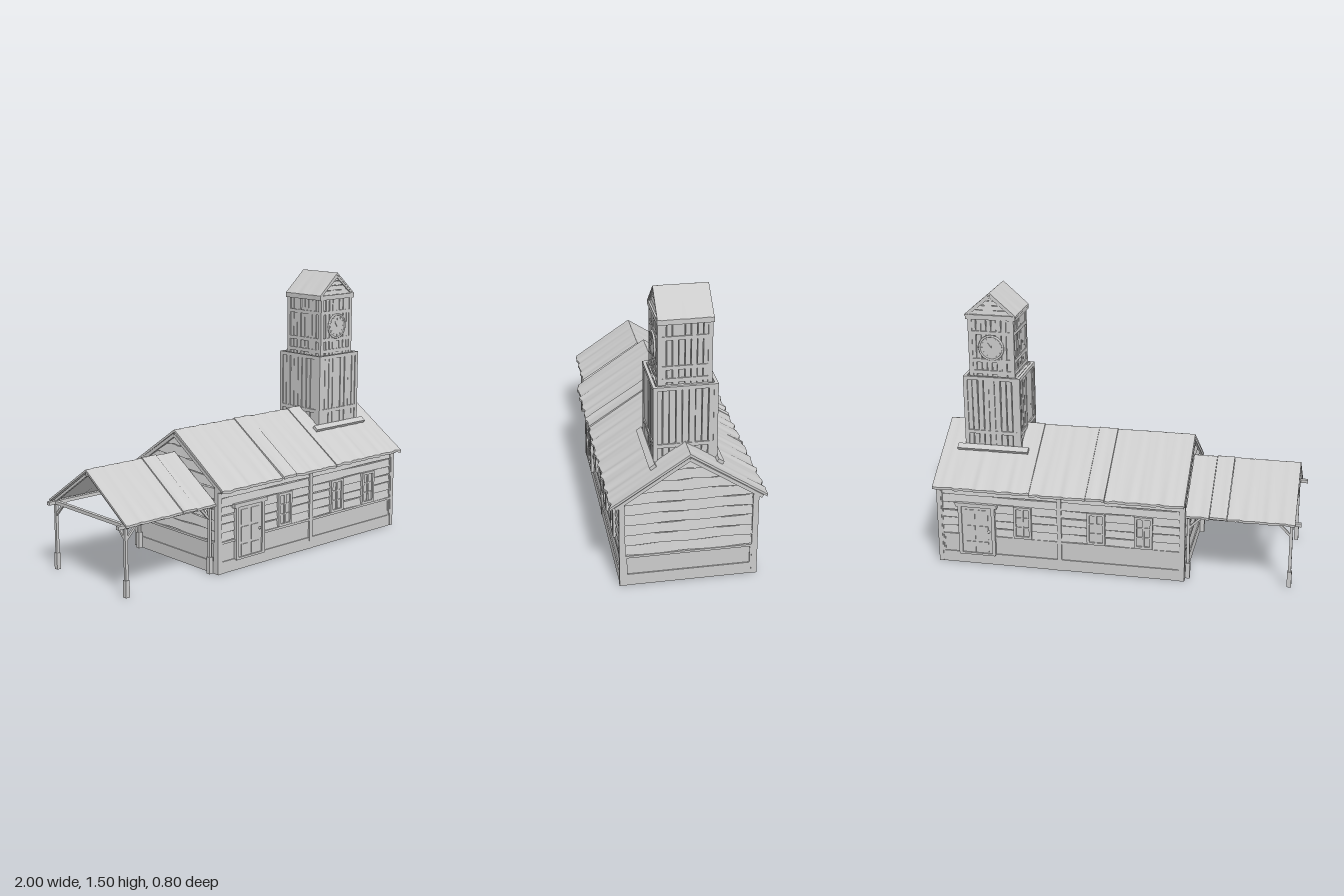
import * as THREE from 'three';

const mat = new THREE.MeshStandardMaterial({ color: 0xcccccc });
const UP = new THREE.Vector3(0, 1, 0);
let seed = 7;
const rnd = () => (seed = (seed * 16807) % 2147483647) / 2147483647;

function group(parent, name, x = 0, y = 0, z = 0) {
  const g = new THREE.Group();
  g.name = name;
  g.position.set(x, y, z);
  parent.add(g);
  return g;
}

function add(parent, name, geo, x = 0, y = 0, z = 0) {
  const m = new THREE.Mesh(geo, mat);
  m.name = name;
  m.position.set(x, y, z);
  parent.add(m);
  return m;
}

const box = (parent, name, w, h, d, x, y, z) => add(parent, name, new THREE.BoxGeometry(w, h, d), x, y, z);

// Square timber between two points of the parent
function bar(parent, name, a, b, t) {
  const p = new THREE.Vector3(...a), q = new THREE.Vector3(...b);
  const m = box(parent, name, t, t, p.distanceTo(q), 0, 0, 0);
  m.position.copy(p).add(q).multiplyScalar(0.5);
  m.quaternion.setFromRotationMatrix(new THREE.Matrix4().lookAt(q, p, UP));
}

// Horizontal boards with narrow gaps, each thicker at its lower edge; widthAt gives the wall width at a height
function clapboards(parent, y0, y1, count, widthAt, z, lap) {
  const h = (y1 - y0) / count;
  for (let i = 0; i < count; i++) {
    const geo = new THREE.BoxGeometry(1, h, 1, 14, 1, 1), p = geo.attributes.position;
    const low = y0 + i * h, high = low + h * 0.88, phase = rnd() * 6;
    for (let k = 0; k < p.count; k++) {
      const top = p.getY(k) > 0, u = p.getX(k), y = top ? high : low;
      const out = p.getZ(k) > 0 ? (top ? 0.002 : lap) : -0.016;
      const wob = Math.sin(u * 13 + phase + (top ? 2 : 0)) * h * 0.05;
      p.setXYZ(k, u * widthAt(y), y + wob, z + out);
    }
    geo.computeVertexNormals();
    add(parent, 'clapboard', geo);
  }
}

// Pair of roof slopes with the ridge along x, made from slightly wavy sheets between the seams
function gableRoof(parent, name, seams, run, ridgeY, eaveY, t) {
  const g = group(parent, name), ripple = run / 0.4;
  for (const side of [1, -1]) {
    for (let s = 0; s + 1 < seams.length; s++) {
      const len = seams[s + 1] - seams[s], mid = (seams[s] + seams[s + 1]) / 2;
      const n = Math.max(4, Math.round(len * 90)), lift = (s % 2) * 0.004, phase = rnd() * 6;
      const geo = new THREE.BoxGeometry(len - 0.002, t, 1, n, 1, 4), p = geo.attributes.position;
      for (let k = 0; k < p.count; k++) {
        const x = p.getX(k), u = p.getZ(k) + 0.5, under = p.getY(k) < 0;
        const wave = ripple * (0.0012 * Math.sin(x * 70 + phase) + 0.0008 * Math.sin(x * 133 + side));
        const reach = run + u * ripple * (0.005 * Math.sin(x * 58 + phase) + 0.003 * Math.sin(x * 101));
        const y = ridgeY - (ridgeY - eaveY) * u - (under ? t : 0) + wave + lift - 0.004;
        p.setXYZ(k, mid + x, y, reach * u * side);
      }
      // Mirroring flips the winding, so reverse it on the far slope
      if (side < 0) geo.setIndex(Array.from(geo.index.array).reverse());
      geo.computeVertexNormals();
      add(g, 'roofSheet', geo);
    }
  }
  return g;
}

function door(parent, x, z) {
  const g = group(parent, 'door', x, 0, z);
  box(g, 'doorLeaf', 0.17, 0.28, 0.012, 0, 0.2, 0);
  for (const s of [-1, 1]) {
    box(g, 'doorJamb', 0.02, 0.29, 0.026, s * 0.094, 0.205, 0.001);
    [[0.105, 0.06], [0.19, 0.08], [0.285, 0.08]].forEach(([y, h]) => box(g, 'doorPanel', 0.055, h, 0.008, s * 0.037, y, 0.006));
  }
  box(g, 'doorLintel', 0.235, 0.022, 0.034, 0, 0.354, 0.001);
  box(g, 'threshold', 0.2, 0.012, 0.026, 0, 0.062, 0.001);
  add(g, 'doorKnob', new THREE.SphereGeometry(0.008, 12, 8), 0.068, 0.2, 0.011);
}

function windowUnit(parent, x, z) {
  const g = group(parent, 'window', x, 0.268, z);
  box(g, 'pane', 0.08, 0.17, 0.01, 0, 0, 0);
  for (const s of [-1, 1]) {
    box(g, 'windowSide', 0.014, 0.18, 0.024, s * 0.043, 0, 0.002);
    box(g, 'windowRail', 0.1, 0.014, 0.024, 0, s * 0.086, 0.002);
    box(g, 'glazingBar', 0.08, 0.006, 0.016, 0, s * 0.028, 0.002);
  }
  box(g, 'mullion', 0.012, 0.17, 0.02, 0, 0, 0.002);
}

// Low plinth: sill, recessed panel and cap rail
function plinth(parent, width, z) {
  box(parent, 'sill', width, 0.064, 0.036, 0, 0.032, z - 0.018);
  box(parent, 'plinthPanel', width, 0.11, 0.03, 0, 0.115, z - 0.021);
  box(parent, 'plinthRail', width, 0.012, 0.036, 0, 0.166, z - 0.017);
}

// One tower storey: four plank faces with corner posts and rails at the given heights
function towerTier(parent, name, w, d, y0, y1, rails) {
  const g = group(parent, name), h = y1 - y0, ym = (y0 + y1) / 2;
  box(g, 'tierCore', w - 0.044, h - 0.01, d - 0.044, 0, ym, 0);
  for (let f = 0; f < 4; f++) {
    const face = group(g, 'tierFace');
    face.rotation.y = f * Math.PI / 2;
    const fw = f % 2 ? d : w, out = (f % 2 ? w : d) / 2;
    const n = Math.round(fw / 0.034), pw = (fw - 0.03) / n;
    for (let i = 0; i < n; i++) {
      const plank = box(face, 'plank', pw * (0.82 + rnd() * 0.12), h - 0.01, 0.014, (i + 0.5 - n / 2) * pw, ym, out - 0.015 + rnd() * 0.006);
      plank.rotation.z = (rnd() - 0.5) * 0.014;
    }
    for (const y of rails) box(face, 'rail', fw - 0.03, 0.02, 0.016, 0, y, out - 0.008);
    box(face, 'cornerPost', 0.022, h, 0.022, fw / 2 - 0.011, ym, out - 0.011);
  }
}

function clock(parent, z) {
  const g = group(parent, 'clock', 0, 1.19, z);
  add(g, 'clockFace', new THREE.CylinderGeometry(0.066, 0.066, 0.016, 32).rotateX(Math.PI / 2));
  add(g, 'clockRim', new THREE.TorusGeometry(0.066, 0.006, 8, 32), 0, 0, 0.006);
  for (let i = 0; i < 12; i++) {
    const a = i * Math.PI / 6;
    box(g, 'hourMark', 0.004, 0.01, 0.004, Math.sin(a) * 0.052, Math.cos(a) * 0.052, 0.008).rotation.z = -a;
  }
  bar(g, 'minuteHand', [0, 0, 0.009], [0, 0.046, 0.009], 0.004);
  bar(g, 'hourHand', [0, 0, 0.009], [-0.018, 0.026, 0.009], 0.005);
}

export function createModel() {
  const model = new THREE.Group();
  model.name = 'station';

  // Main hall: solid core with two long walls and two gable ends
  const hall = group(model, 'hall', 0.3, 0, 0.008);
  const profile = new THREE.Shape([[-0.322, 0.03], [0.322, 0.03], [0.322, 0.47], [0, 0.69], [-0.322, 0.47]].map(p => new THREE.Vector2(...p)));
  add(hall, 'hallCore', new THREE.ExtrudeGeometry(profile, { depth: 1.316, bevelEnabled: false }).translate(0, 0, -0.658).rotateY(Math.PI / 2));

  const longWall = group(hall, 'longWall');
  clapboards(longWall, 0.174, 0.455, 6, () => 1.36, 0.337, 0.01);
  plinth(longWall, 1.378, 0.349);
  for (const x of [-0.678, 0, 0.678]) box(longWall, 'wallPost', 0.024, 0.46, 0.03, x, 0.23, 0.337);
  box(longWall, 'eavePlate', 1.378, 0.02, 0.036, 0, 0.456, 0.342);
  door(longWall, -0.465, 0.346);
  for (const x of [-0.205, 0.205, 0.465]) windowUnit(longWall, x, 0.344);
  const rearWall = longWall.clone();
  rearWall.rotation.y = Math.PI;
  hall.add(rearWall);

  const gableEnd = group(hall, 'gableEnd');
  gableEnd.rotation.y = Math.PI / 2;
  clapboards(gableEnd, 0.174, 0.465, 5, () => 0.65, 0.672, 0.013);
  clapboards(gableEnd, 0.465, 0.7, 4, y => Math.max(0.01, 0.7 * (0.7 - y) / 0.235), 0.672, 0.013);
  plinth(gableEnd, 0.69, 0.688);
  for (const s of [-1, 1]) {
    box(gableEnd, 'endPost', 0.024, 0.46, 0.03, s * 0.337, 0.23, 0.674);
    bar(gableEnd, 'rakeBoard', [s * 0.37, 0.449, 0.683], [0, 0.693, 0.683], 0.018);
  }
  const farEnd = gableEnd.clone();
  farEnd.rotation.y = -Math.PI / 2;
  hall.add(farEnd);
  gableRoof(hall, 'hallRoof', [-0.69, -0.26, -0.155, 0.155, 0.699], 0.393, 0.725, 0.463, 0.014);

  // Open canopy on posts
  const canopy = group(model, 'canopy', 0, 0, 0.008);
  gableRoof(canopy, 'canopyRoof', [-0.97, -0.61, -0.515, -0.385], 0.332, 0.605, 0.383, 0.012);
  for (const s of [-1, 1]) {
    const z = s * 0.298;
    box(canopy, 'canopyBeam', 0.61, 0.018, 0.022, -0.695, 0.367, z);
    for (const [x, dir] of [[-0.95, 1], [-0.402, -1]]) {
      box(canopy, 'canopyPost', 0.016, 0.36, 0.016, x, 0.18, z);
      box(canopy, 'postFoot', 0.024, 0.09, 0.024, x, 0.045, z);
      bar(canopy, 'braceAlong', [x, 0.295, z], [x + dir * 0.065, 0.362, z], 0.012);
      bar(canopy, 'braceAcross', [x, 0.295, z], [x, 0.362, z - s * 0.065], 0.012);
      bar(canopy, 'rafter', [x, 0.362, s * 0.32], [x, 0.577, 0], 0.014);
    }
  }
  for (const x of [-0.95, -0.402]) box(canopy, 'tieBeam', 0.02, 0.018, 0.6, x, 0.367, 0);
  box(canopy, 'ridgeBeam', 0.57, 0.018, 0.014, -0.68, 0.574, 0);

  // Clock tower straddling the ridge
  const tower = group(model, 'clockTower', 0.711, 0, 0.008);
  towerTier(tower, 'lowerTier', 0.318, 0.322, 0.56, 1.03, [0.71, 1.02]);
  towerTier(tower, 'upperTier', 0.255, 0.27, 1.0, 1.36, [1.05, 1.115, 1.27]);
  box(tower, 'upperPlate', 0.276, 0.026, 0.278, 0, 1.358, 0);
  for (const s of [-1, 1]) {
    box(tower, 'baseSkirt', 0.4, 0.018, 0.034, 0, 0.621, s * 0.17).rotation.x = s * 0.59;
    const front = group(tower, 'clockSide');
    if (s < 0) front.rotation.y = Math.PI;
    clock(front, 0.131);
    clapboards(front, 1.371, 1.475, 4, y => Math.max(0.005, 0.25 * (1.475 - y) / 0.104), 0.122, 0.008);
    for (const k of [-1, 1]) bar(front, 'pedimentTrim', [k * 0.13, 1.367, 0.129], [0, 1.474, 0.129], 0.012);
    box(front, 'pedimentCore', 0.1, 0.06, 0.02, 0, 1.39, 0.098);
  }
  const cap = gableRoof(tower, 'towerRoof', [-0.138, 0.138], 0.14, 1.499, 1.376, 0.012);
  cap.rotation.y = Math.PI / 2;

  return model;
}
